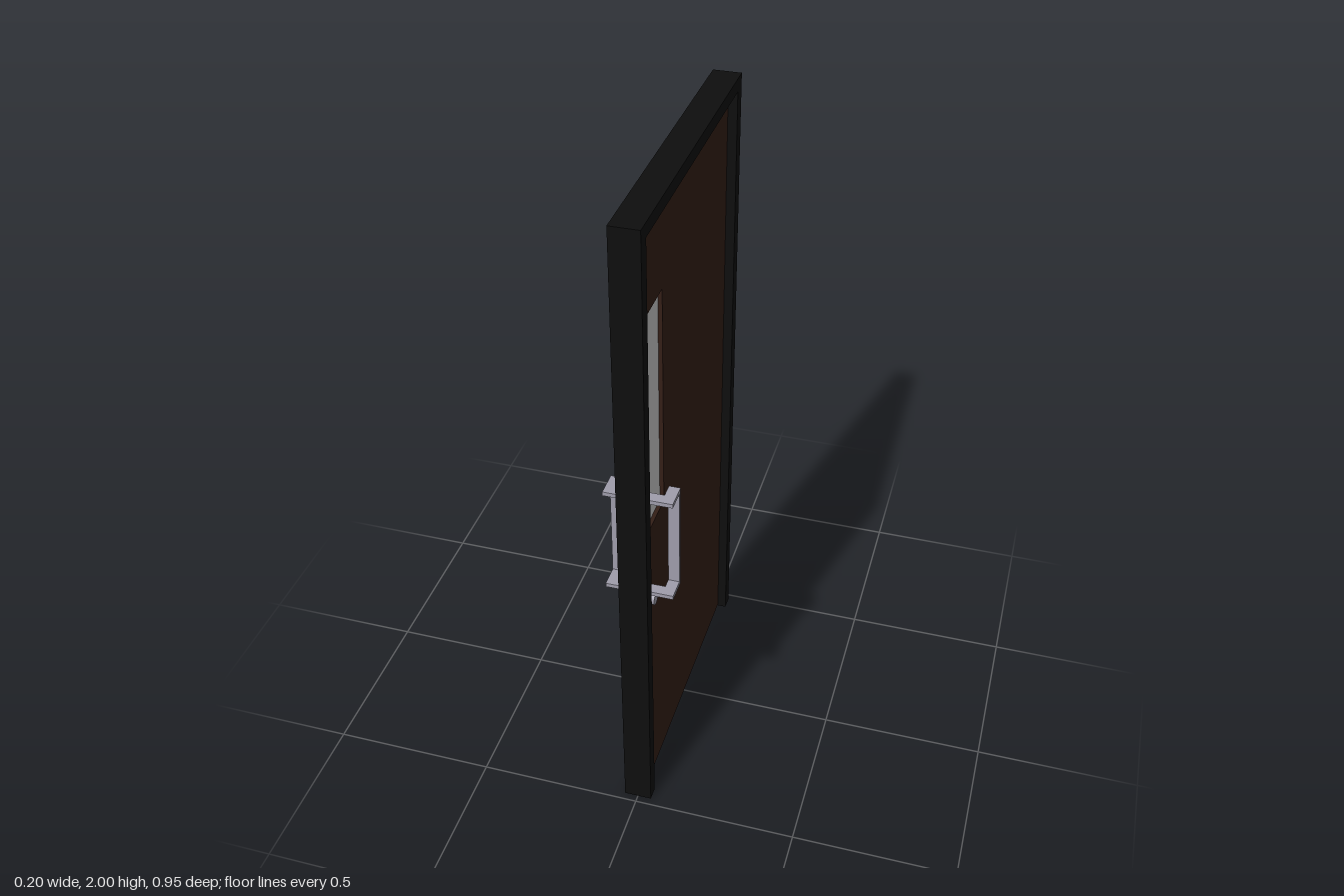
import * as THREE from 'three';

const frameMat = new THREE.MeshStandardMaterial({ color: 0x0e0e0e });
const woodMat = new THREE.MeshStandardMaterial({ color: 0x341f17 });
const glassMat = new THREE.MeshStandardMaterial({ color: 0xcccccc });
const metalMat = new THREE.MeshStandardMaterial({ color: 0xa09eac });

// Box given by its min and max on each axis
function box(name, mat, [x0, x1], [y0, y1], [z0, z1]) {
  const mesh = new THREE.Mesh(new THREE.BoxGeometry(x1 - x0, y1 - y0, z1 - z0), mat);
  mesh.position.set((x0 + x1) / 2, (y0 + y1) / 2, (z0 + z1) / 2);
  mesh.name = name;
  return mesh;
}

// Rectangle path in the door plane: u runs along -z, v is up
function rect(path, u0, u1, v0, v1) {
  path.moveTo(u0, v0);
  path.lineTo(u1, v0);
  path.lineTo(u1, v1);
  path.lineTo(u0, v1);
  path.closePath();
  return path;
}

// Extrude an outline in the door plane, centred on x = 0
function panel(name, mat, shape, depth) {
  const geo = new THREE.ExtrudeGeometry(shape, { depth, bevelEnabled: false });
  geo.translate(0, 0, -depth / 2).rotateY(Math.PI / 2);
  const mesh = new THREE.Mesh(geo, mat);
  mesh.name = name;
  return mesh;
}

export function createModel() {
  const model = new THREE.Group();
  model.name = 'door';

  // Frame: two jambs and a header in one outline
  const outline = new THREE.Shape();
  [[-0.477, 0], [-0.436, 0], [-0.436, 1.96], [0.436, 1.96], [0.436, 0], [0.477, 0], [0.477, 2], [-0.477, 2]]
    .forEach(([u, v], i) => (i ? outline.lineTo(u, v) : outline.moveTo(u, v)));
  outline.closePath();
  model.add(panel('frame', frameMat, outline, 0.084));

  // Door leaf with a narrow window opening
  const leaf = rect(new THREE.Shape(), -0.436, 0.436, 0.005, 1.96);
  leaf.holes.push(rect(new THREE.Path(), -0.353, -0.218, 0.99, 1.69));
  model.add(panel('doorLeaf', woodMat, leaf, 0.028));
  model.add(box('windowGlass', glassMat, [-0.002, 0.002], [0.99, 1.69], [0.218, 0.353]));

  // Handle and lock on each face
  for (const side of [1, -1]) {
    const span = (a, b) => (side > 0 ? [a, b] : [-b, -a]);
    const handle = new THREE.Group();
    handle.name = side > 0 ? 'leftHandle' : 'rightHandle';
    for (const [end, y] of [['upper', 1.135], ['lower', 0.803]]) {
      const ys = [y, y + 0.013];
      handle.add(box(end + 'Mount', metalMat, span(0.01, 0.1), ys, [0.385, 0.419]));
      handle.add(box(end + 'Arm', metalMat, span(0.067, 0.1), ys, [0.343, 0.385]));
    }
    handle.add(box('grip', metalMat, span(0.067, 0.1), [0.816, 1.135], [0.343, 0.355]));
    model.add(handle);

    const lock = new THREE.Mesh(new THREE.CylinderGeometry(0.02, 0.02, 0.03, 32), metalMat);
    lock.name = side > 0 ? 'leftLock' : 'rightLock';
    lock.rotation.z = Math.PI / 2;
    lock.position.set(side * 0.025, 0.767, 0.388);
    model.add(lock);
  }

  return model;
}
